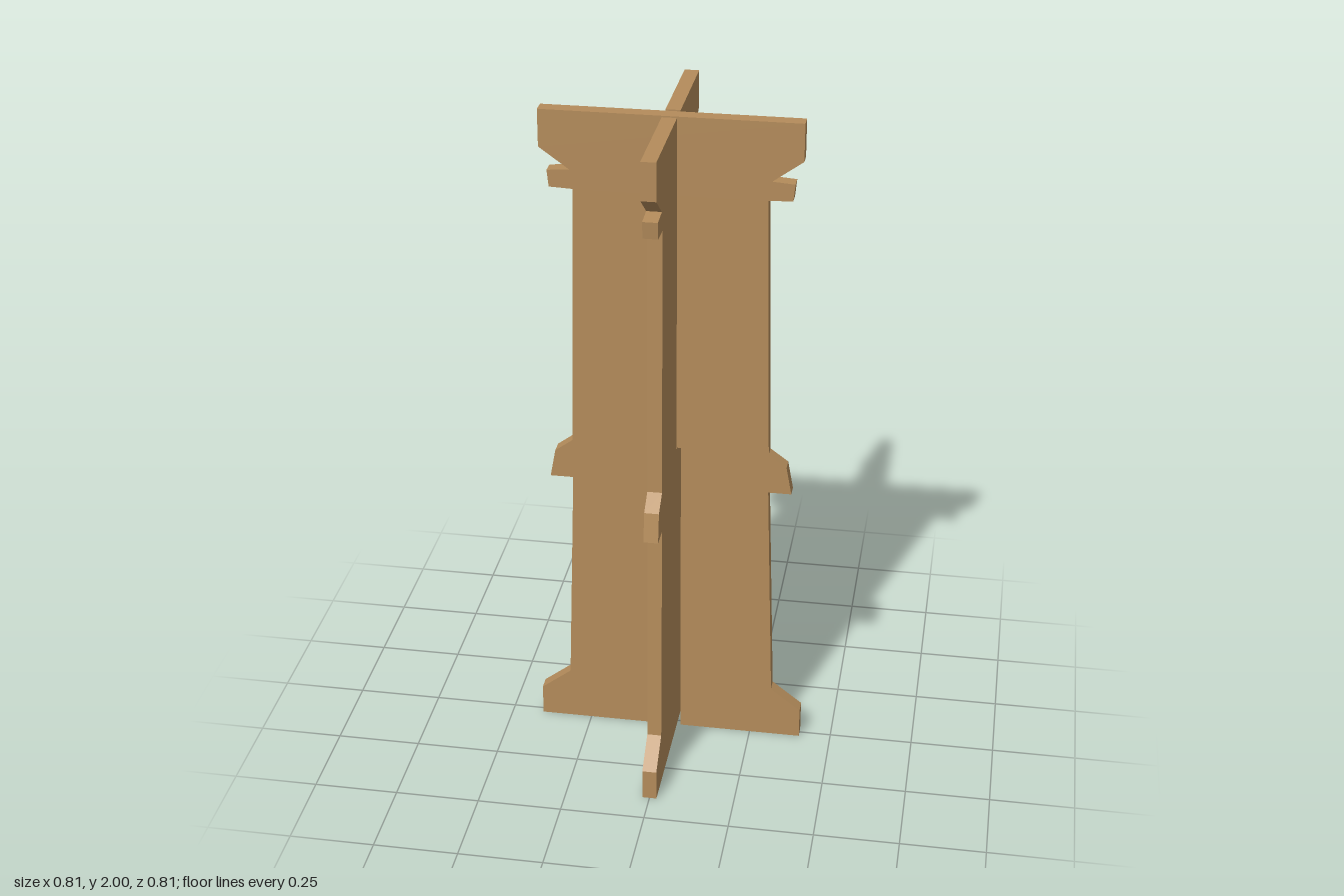
import * as THREE from 'three';

const THICKNESS = 0.042;
const SLOT = 0.032; // half width of the interlocking slots
const MID = 0.983; // height where the slots meet

// Right-hand edge of a panel, from foot to top
const EDGE = [
  [0.404, 0], [0.404, 0.095], [0.314, 0.165], [0.291, 0.857], [0.359, 0.857],
  [0.343, 0.943], [0.29, 0.982], [0.273, 1.772], [0.341, 1.775],
  [0.346, 1.824], [0.282, 1.829], [0.368, 1.891], [0.368, 2],
];

// Mirrored panel with a slot cut from its foot or its top
function makePanel(name, slotAtTop, material) {
  const mirrored = EDGE.map(([x, y]) => [-x, y]).reverse();
  const slotY = slotAtTop ? 2 : 0;
  const slot = [[-SLOT, slotY], [-SLOT, MID], [SLOT, MID], [SLOT, slotY]];
  const outline = slotAtTop
    ? [...EDGE, ...slot.reverse(), ...mirrored]
    : [...EDGE, ...mirrored, ...slot];
  const shape = new THREE.Shape(outline.map(([x, y]) => new THREE.Vector2(x, y)));
  const geometry = new THREE.ExtrudeGeometry(shape, { depth: THICKNESS, bevelEnabled: false });
  geometry.translate(0, 0, -THICKNESS / 2);
  const mesh = new THREE.Mesh(geometry, material);
  mesh.name = name;
  return mesh;
}

export function createModel() {
  const wood = new THREE.MeshStandardMaterial({ color: 0xb48c5b });
  wood.name = 'wood';

  const group = new THREE.Group();
  group.name = 'slottedStand';

  // Two crossed boards that slide into each other
  const crossPanel = makePanel('crossPanel', false, wood);
  const depthPanel = makePanel('depthPanel', true, wood);
  depthPanel.rotation.y = Math.PI / 2;
  group.add(crossPanel, depthPanel);
  return group;
}
